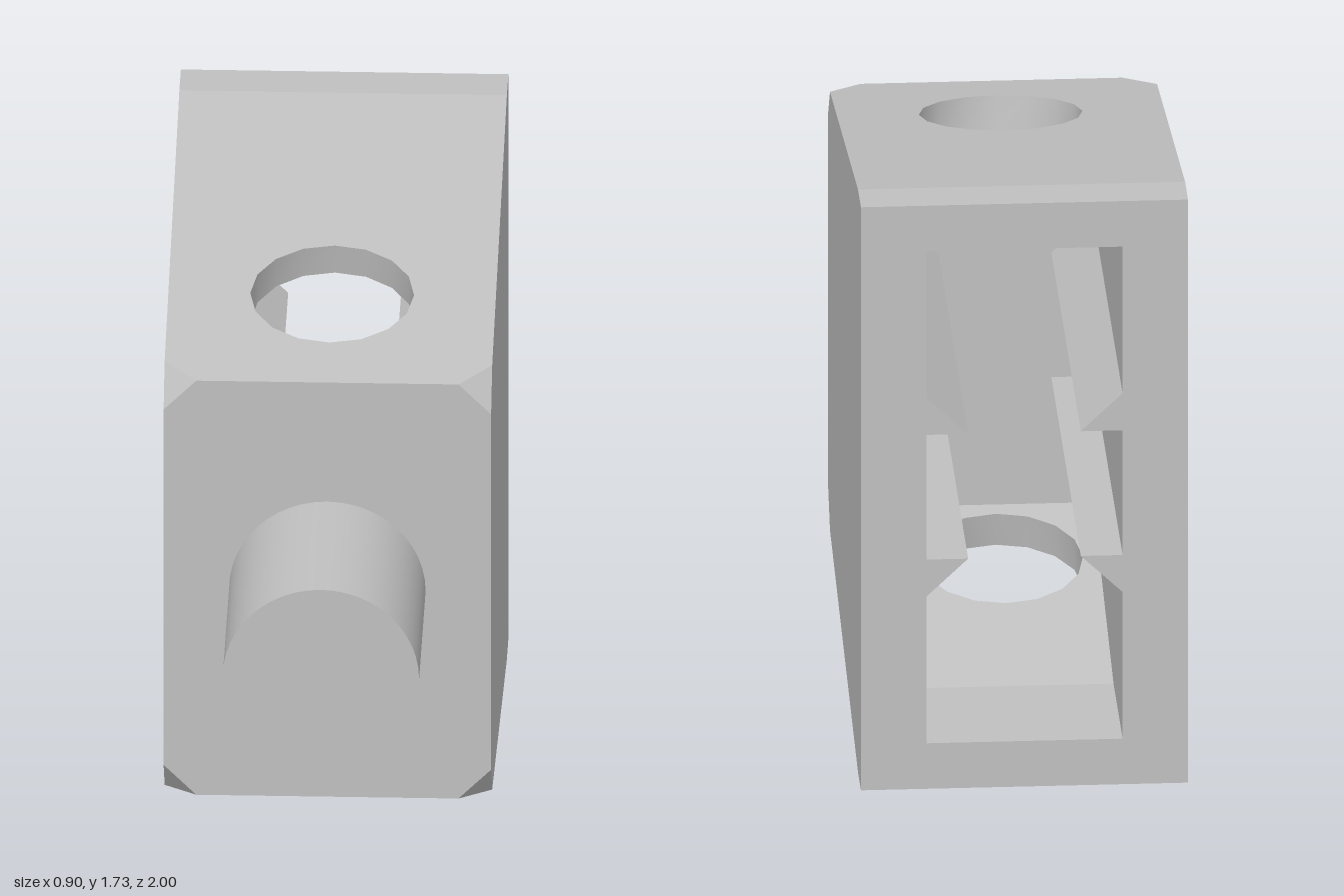
import * as THREE from 'three';

const H = 0.865;                                   // half height of the body
const W = 0.45, FRONT = 0.455, KNEE = -0.87, CUT = 0.09;
const IN_W = 0.27, IN_KNEE = -0.6, IN_FRONT = 0.3; // cavity
const RIB_X = 0.155, RIB_LOW = 0.185, RIB_HIGH = 0.295;
const SLOPE = 0.23 / (FRONT - KNEE);

// heights above the middle plane of the outer roof and the cavity roof
const roof = z => H - SLOPE * Math.max(0, z - KNEE);
const ceiling = z => 0.73 - 0.19 * Math.max(0, z - IN_KNEE);

const metal = new THREE.MeshStandardMaterial({ color: 0xc0c0c0 });
metal.name = 'light grey';

// flat panel: 2D outline (with holes) placed in space by a rule, facing a given way
function panel(name, pts, place, facing, holes = []) {
  const v2 = list => list.map(p => new THREE.Vector2(...p));
  const shape = new THREE.Shape(v2(pts));
  holes.forEach(h => shape.holes.push(new THREE.Path(v2(h))));
  const geo = new THREE.ShapeGeometry(shape);
  const pos = geo.attributes.position;
  for (let i = 0; i < pos.count; i++) pos.setXYZ(i, ...place(pos.getX(i), pos.getY(i)));
  geo.computeVertexNormals();
  const n = new THREE.Vector3().fromBufferAttribute(geo.attributes.normal, 0);
  if (n.dot(new THREE.Vector3(...facing)) < 0) {
    geo.setIndex(Array.from(geo.index.array).reverse());
    geo.computeVertexNormals();
  }
  const mesh = new THREE.Mesh(geo, metal);
  mesh.name = name;
  return mesh;
}

// ring of the round opening, sunk along the roof normal to a given depth
const SIDES = 16;
function holeRing(depth) {
  const a = Math.atan(SLOPE), r = 0.225, ring = [];
  for (let i = 0; i < SIDES; i++) {
    const t = (i / SIDES) * Math.PI * 2;
    ring.push([r * Math.cos(t), 0.05 - depth * Math.sin(a) + r * Math.cos(a) * Math.sin(t)]);
  }
  return ring;
}

// short tube wall joining the outer and inner rings
function holeWall(outer, inner, s) {
  const verts = [], idx = [];
  outer.forEach(([x, z], i) => {
    const [x2, z2] = inner[i];
    verts.push(x, s * roof(z), z, x2, s * ceiling(z2), z2);
    const a = 2 * i, b = 2 * ((i + 1) % SIDES);
    if (s > 0) idx.push(a, b, a + 1, b, b + 1, a + 1);
    else idx.push(a, a + 1, b, b, a + 1, b + 1);
  });
  const geo = new THREE.BufferGeometry();
  geo.setAttribute('position', new THREE.Float32BufferAttribute(verts, 3));
  geo.setIndex(idx);
  geo.computeVertexNormals();
  // make the wall face the axis of the opening
  const nx = geo.attributes.normal.getX(0);
  if (nx > 0) {
    geo.setIndex(idx.reverse());
    geo.computeVertexNormals();
  }
  const mesh = new THREE.Mesh(geo, metal);
  mesh.name = 'openingWall';
  return mesh;
}

// cavity cross-section with two pointed ribs on each side
function cavityOutline(h) {
  const right = [
    [IN_W, -h], [IN_W, -RIB_HIGH], [RIB_X, -RIB_LOW], [IN_W, -RIB_LOW],
    [IN_W, RIB_LOW], [RIB_X, RIB_LOW], [IN_W, RIB_HIGH], [IN_W, h],
  ];
  return [...right, ...right.map(([x, y]) => [-x, y]).reverse()];
}

export function createModel() {
  const model = new THREE.Group();
  model.name = 'socketBlock';
  const body = new THREE.Group();
  body.name = 'body';
  body.position.y = H;
  model.add(body);

  const f = roof(FRONT), zc = FRONT - CUT;
  const outerRing = holeRing(0), innerRing = holeRing(0.105);

  // back rim and front face
  body.add(panel('backRim', [[-W, -H], [W, -H], [W, H], [-W, H]],
    (x, y) => [x, y, -1], [0, 0, -1], [cavityOutline(ceiling(-1))]));
  body.add(panel('frontFace', [
    [-W + CUT, -f], [W - CUT, -f], [W, -f + CUT], [W, f - CUT],
    [W - CUT, f], [-W + CUT, f], [-W, f - CUT], [-W, -f + CUT],
  ], (x, y) => [x, y, FRONT], [0, 0, 1]));
  body.add(panel('cavityEnd', cavityOutline(ceiling(IN_FRONT)),
    (x, y) => [x, y, IN_FRONT], [0, 0, -1]));

  // left and right faces
  const half = [[-1, H], [KNEE, H], [zc, roof(zc)], [FRONT, f - CUT]];
  const sideOutline = [...half, ...half.map(([z, y]) => [z, -y]).reverse()];
  for (const m of [1, -1]) {
    body.add(panel('sideFace', sideOutline, (z, y) => [m * W, y, z], [m, 0, 0]));
    body.add(panel('cavityMiddleWall',
      [[-1, -RIB_LOW], [IN_FRONT, -RIB_LOW], [IN_FRONT, RIB_LOW], [-1, RIB_LOW]],
      (z, y) => [m * IN_W, y, z], [-m, 0, 0]));
  }

  // roof and floor, mirrored about the middle
  for (const s of [1, -1]) {
    const onRoof = (x, z) => [x, s * roof(z), z];
    const onCeiling = (x, z) => [x, s * ceiling(z), z];
    body.add(panel('outerFlat', [[-W, -1], [W, -1], [W, KNEE], [-W, KNEE]], onRoof, [0, s, 0]));
    body.add(panel('outerSlope', [
      [-W, KNEE], [W, KNEE], [W, zc], [W - CUT, FRONT], [-W + CUT, FRONT], [-W, zc],
    ], onRoof, [0, s, 0], [outerRing]));
    body.add(panel('cavityFlat',
      [[-IN_W, -1], [IN_W, -1], [IN_W, IN_KNEE], [-IN_W, IN_KNEE]], onCeiling, [0, -s, 0]));
    body.add(panel('cavitySlope',
      [[-IN_W, IN_KNEE], [IN_W, IN_KNEE], [IN_W, IN_FRONT], [-IN_W, IN_FRONT]],
      onCeiling, [0, -s, 0], [innerRing]));
    body.add(holeWall(outerRing, innerRing, s));

    for (const m of [1, -1]) {
      // cut front corner
      body.add(panel('cutCorner', [[W - CUT, FRONT], [W, FRONT], [W, zc]],
        (x, z) => [m * x, s * (x === W || Math.abs(x - W) < 1e-6
          ? (Math.abs(z - FRONT) < 1e-6 ? f - CUT : roof(zc)) : f), z], [m, s, 1]));
      // cavity wall beyond the rib
      body.add(panel('cavityOuterWall', [
        [-1, RIB_HIGH], [-1, ceiling(-1)], [IN_KNEE, ceiling(IN_KNEE)],
        [IN_FRONT, ceiling(IN_FRONT)], [IN_FRONT, RIB_HIGH],
      ], (z, y) => [m * IN_W, s * y, z], [-m, 0, 0]));
      // rib: sloped face and flat face
      const strip = [[-1, RIB_X], [IN_FRONT, RIB_X], [IN_FRONT, IN_W], [-1, IN_W]];
      const rise = (RIB_HIGH - RIB_LOW) / (IN_W - RIB_X);
      body.add(panel('ribSlope', strip,
        (z, x) => [m * x, s * (RIB_LOW + rise * (x - RIB_X)), z], [-m, s, 0]));
      body.add(panel('ribFlat', strip, (z, x) => [m * x, s * RIB_LOW, z], [0, -s, 0]));
    }
  }

  // round shaft
  const shaft = new THREE.Mesh(new THREE.CylinderGeometry(0.27, 0.27, 1 - FRONT, 48), metal);
  shaft.name = 'shaft';
  shaft.rotation.x = Math.PI / 2;
  shaft.position.set(0, H, (1 + FRONT) / 2);
  model.add(shaft);

  return model;
}
